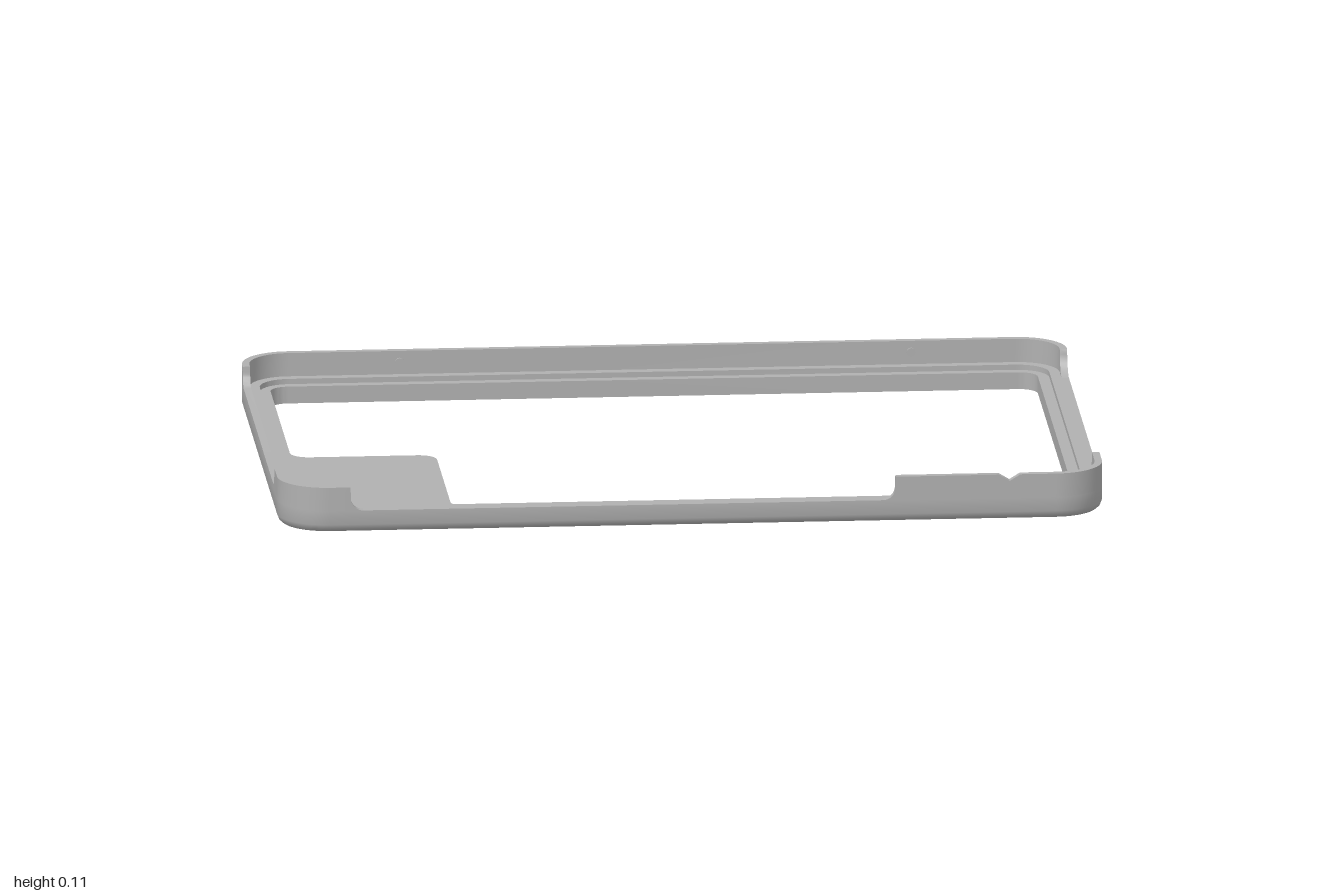
import * as THREE from 'three';
import { toCreasedNormals } from 'three/addons/utils/BufferGeometryUtils.js';

const HX = 1, HZ = 0.66, R = 0.12;          // outer half sizes and corner radius
const LIP = 0.042, LEDGE = 0.055, TOP = 0.113;

// Height of a cut-out whose end lies at distance d, with a fillet of radius r
function cut(d, r, floor) {
  if (d < 0) return TOP;
  if (d >= r) return floor;
  return Math.min(TOP, floor + r * (1 - Math.sqrt(1 - (1 - d / r) ** 2)));
}

// Rim height on each side
const frontRim = x => Math.min(
  Math.max(cut(x + 0.83, 0.03, LEDGE), cut(0.49 - x, 0.03, LEDGE)),
  TOP - Math.max(0, 0.016 * (1 - Math.abs(x - 0.767) / 0.026)));
const leftRim = z => Math.max(cut(0.46 - z, 0.056, LEDGE), cut(z + 0.535, 0.056, LEDGE));
const rightRim = z => Math.max(
  cut(0.46 - z, 0.056, LEDGE), cut(z + 0.518, 0.036, 0.065),
  LEDGE + 0.011 * THREE.MathUtils.clamp((0.13 - z) / 0.035, 0, 1));

// Sample positions around a cut-out end; dir points into the cut-out
function endSamples(edge, dir, r) {
  const list = [edge - dir * 0.001];
  for (let i = 0; i <= 8; i++) list.push(edge + dir * r * (1 - Math.cos(i / 8 * Math.PI / 2)));
  return list;
}

// Outer loop: position, outward normal and rim height
function makeLoop() {
  const loop = [];
  const corner = (sx, sz, start) => {
    for (let i = 0; i <= 14; i++) {
      const a = start + i / 14 * Math.PI / 2, nx = Math.cos(a), nz = Math.sin(a);
      loop.push({ x: sx * (HX - R) + nx * R, z: sz * (HZ - R) + nz * R, nx, nz, h: TOP });
    }
  };
  const up = (a, b) => a - b, down = (a, b) => b - a;
  [...endSamples(-0.535, 1, 0.056), ...endSamples(0.46, -1, 0.056)].sort(up)
    .forEach(z => loop.push({ x: HX, z, nx: 1, nz: 0, h: leftRim(z) }));
  corner(1, 1, 0);
  [...endSamples(-0.83, 1, 0.03), ...endSamples(0.49, -1, 0.03), 0.741, 0.767, 0.793].sort(down)
    .forEach(x => loop.push({ x, z: HZ, nx: 0, nz: 1, h: frontRim(x) }));
  corner(-1, 1, Math.PI / 2);
  [...endSamples(0.46, -1, 0.056), 0.13, 0.112, 0.095, ...endSamples(-0.518, 1, 0.036)].sort(down)
    .forEach(z => loop.push({ x: -HX, z, nx: -1, nz: 0, h: rightRim(z) }));
  corner(-1, -1, Math.PI);
  corner(1, -1, Math.PI * 1.5);
  return loop;
}

// Sweep a profile of [inset, height] pairs around the loop
function sweep(loop, profile) {
  const pos = [], at = (p, [o, y]) => new THREE.Vector3(p.x - p.nx * o, y, p.z - p.nz * o);
  const tri = (...t) => {
    const area = new THREE.Triangle(...t).getArea();
    if (area > 1e-9) t.forEach(v => pos.push(v.x, v.y, v.z));
  };
  loop.forEach((p, i) => {
    const q = loop[(i + 1) % loop.length], pp = profile(p), qp = profile(q);
    if (!pp.length && !qp.length) return;
    for (let j = 0; j < pp.length - 1; j++) {
      const a = at(p, pp[j]), a2 = at(p, pp[j + 1]), b = at(q, qp[j]), b2 = at(q, qp[j + 1]);
      if (a.y + a2.y + b.y + b2.y === 4 * LEDGE) continue;   // rim fully cut away
      tri(a, a2, b);
      tri(b, a2, b2);
    }
  });
  const g = new THREE.BufferGeometry();
  g.setAttribute('position', new THREE.Float32BufferAttribute(pos, 3));
  return toCreasedNormals(g, 0.6);
}

// Closed outline with rounded corners
function roundedOutline(target, pts, r) {
  const v = pts.map(p => new THREE.Vector2(...p)), n = v.length;
  v.forEach((c, i) => {
    const a = v[(i + n - 1) % n].clone().sub(c).setLength(r).add(c);
    const b = v[(i + 1) % n].clone().sub(c).setLength(r).add(c);
    if (i === 0) target.moveTo(a.x, a.y); else target.lineTo(a.x, a.y);
    const k = 0.448;
    target.bezierCurveTo(a.x + (c.x - a.x) * (1 - k), a.y + (c.y - a.y) * (1 - k),
      b.x + (c.x - b.x) * (1 - k), b.y + (c.y - b.y) * (1 - k), b.x, b.y);
  });
  target.closePath();
  return target;
}

export function createModel() {
  const group = new THREE.Group();
  const grey = new THREE.MeshStandardMaterial({ color: 0xb0b0b0 });
  grey.name = 'grey';
  const add = (name, geo) => {
    const m = new THREE.Mesh(geo, grey);
    m.name = name;
    group.add(m);
    return m;
  };
  const loop = makeLoop();

  // Lower frame with rounded bottom edge and inner ledge
  const ledgeTop = LEDGE - 1e-6;
  add('lowerFrame', sweep(loop, () => [[0.02, 0], [0.012, 0.002], [0.005, 0.008], [0, 0.02],
    [0, ledgeTop], [0.043, ledgeTop], [0.043, 0.03]]));

  // Upper rim with side and front cut-outs
  add('upperRim', sweep(loop, p => [[0, LEDGE], [0, p.h], [0.018, p.h], [0.018, LEDGE]]));

  // Inner lip and corner pad in one plate
  const x = HX - 0.02, z = HZ - 0.02;
  const plate = roundedOutline(new THREE.Shape(), [[-x, -z], [x, -z], [x, z], [-x, z]], R - 0.02);
  plate.holes.push(roundedOutline(new THREE.Path(), [[-0.93, -0.593], [0.93, -0.593], [0.93, 0.59],
    [-0.58, 0.59], [-0.58, 0.09], [-0.93, 0.09]], 0.045));
  const lip = new THREE.ExtrudeGeometry(plate, { depth: LIP, bevelEnabled: false, curveSegments: 14 });
  lip.rotateX(Math.PI / 2).translate(0, LIP, 0);
  add('lipAndCornerPad', toCreasedNormals(lip, 0.6));

  // Small retaining nubs on the inner wall faces
  const nub = (px, pz, sideways) => {
    const m = add('retainingNub', new THREE.CylinderGeometry(0.011, 0.011, 0.008, 20));
    m.position.set(px, 0.085, pz);
    if (sideways) m.rotation.z = Math.PI / 2; else m.rotation.x = Math.PI / 2;
  };
  nub(-0.61, -0.641, false);
  nub(0.63, -0.641, false);
  nub(0.63, 0.641, false);
  nub(-0.981, 0.52, true);
  nub(0.981, 0.52, true);

  return group;
}
